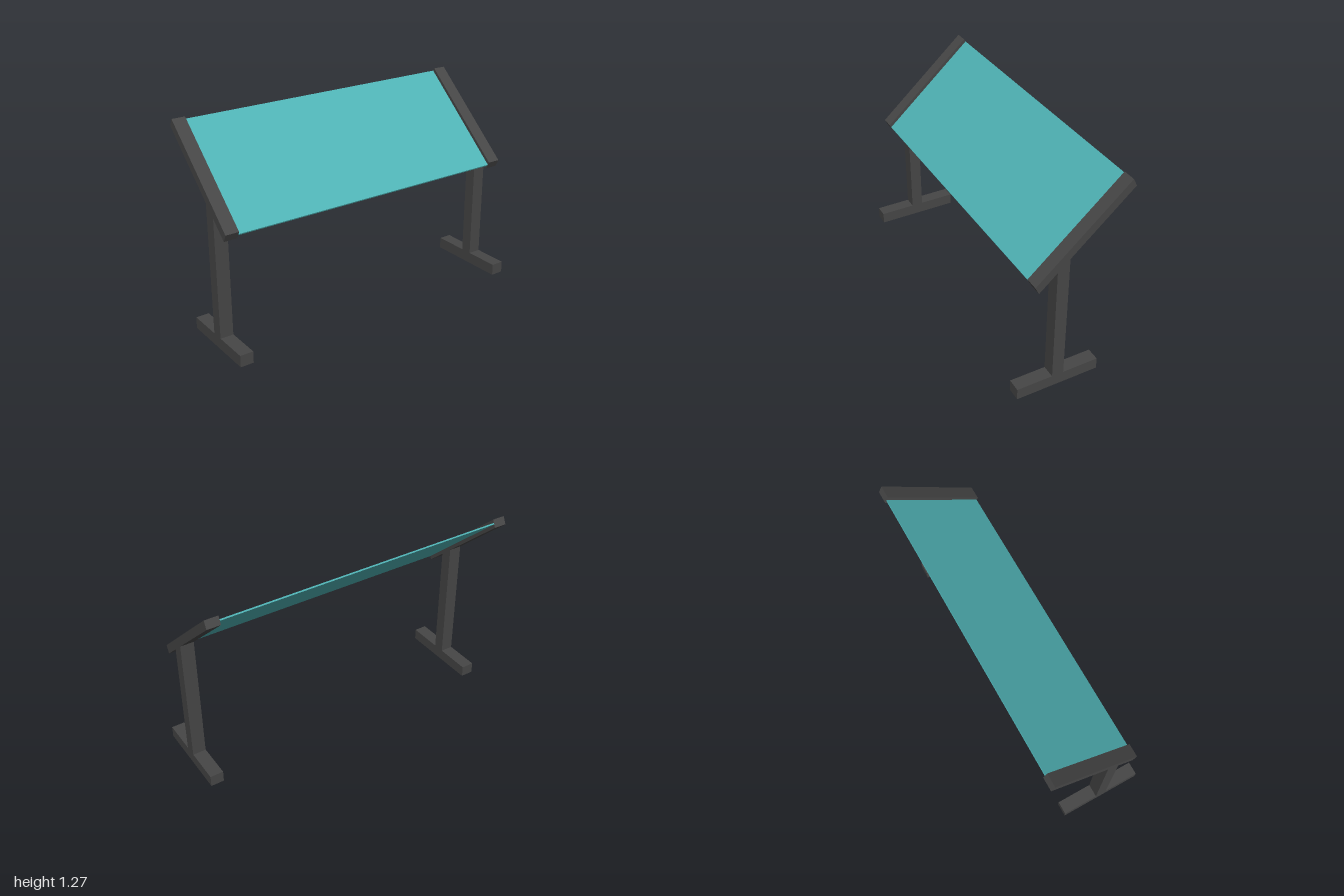
import * as THREE from 'three';

const HALF = 1;       // half of the overall width
const RAIL = 0.083;   // width of each side frame

// Extrudes a [z, y] side outline along x, starting at x0.
function sideProfile(name, outline, x0, width, material) {
  const shape = new THREE.Shape(outline.map(([z, y]) => new THREE.Vector2(-z, y)));
  const geometry = new THREE.ExtrudeGeometry(shape, { depth: width, bevelEnabled: false });
  geometry.rotateY(Math.PI / 2);
  geometry.translate(x0, 0, 0);
  const mesh = new THREE.Mesh(geometry, material);
  mesh.name = name;
  return mesh;
}

export function createModel() {
  const frameMaterial = new THREE.MeshStandardMaterial({ color: 0x464646 });
  frameMaterial.name = 'dark grey frame';
  const panelMaterial = new THREE.MeshStandardMaterial({ color: 0x4fb3b5 });
  panelMaterial.name = 'teal panel';

  const model = new THREE.Group();
  model.name = 'tiltedDisplayStand';

  const foot = [[0.341, 0], [-0.187, 0], [-0.187, 0.073], [0.341, 0.073]];
  // The post top is cut to the slope of the arm
  const post = [[0.115, 0.073], [0.041, 0.073], [0.041, 0.886], [0.115, 0.821]];
  const arm = [[0.225, 0.723], [-0.341, 1.225], [-0.318, 1.271], [0.248, 0.769]];
  const panel = [[0.234, 0.744], [-0.332, 1.246], [-0.328, 1.254], [0.238, 0.752]];

  // Two matching side frames
  for (const [side, x0] of [['left', HALF - RAIL], ['right', -HALF]]) {
    const frame = new THREE.Group();
    frame.name = side + 'Frame';
    frame.add(
      sideProfile('foot', foot, x0, RAIL, frameMaterial),
      sideProfile('post', post, x0, RAIL, frameMaterial),
      sideProfile('slopedArm', arm, x0, RAIL, frameMaterial),
    );
    model.add(frame);
  }

  // Thin sloping panel held between the arms
  model.add(sideProfile('panel', panel, -HALF + RAIL, 2 * (HALF - RAIL), panelMaterial));
  return model;
}
